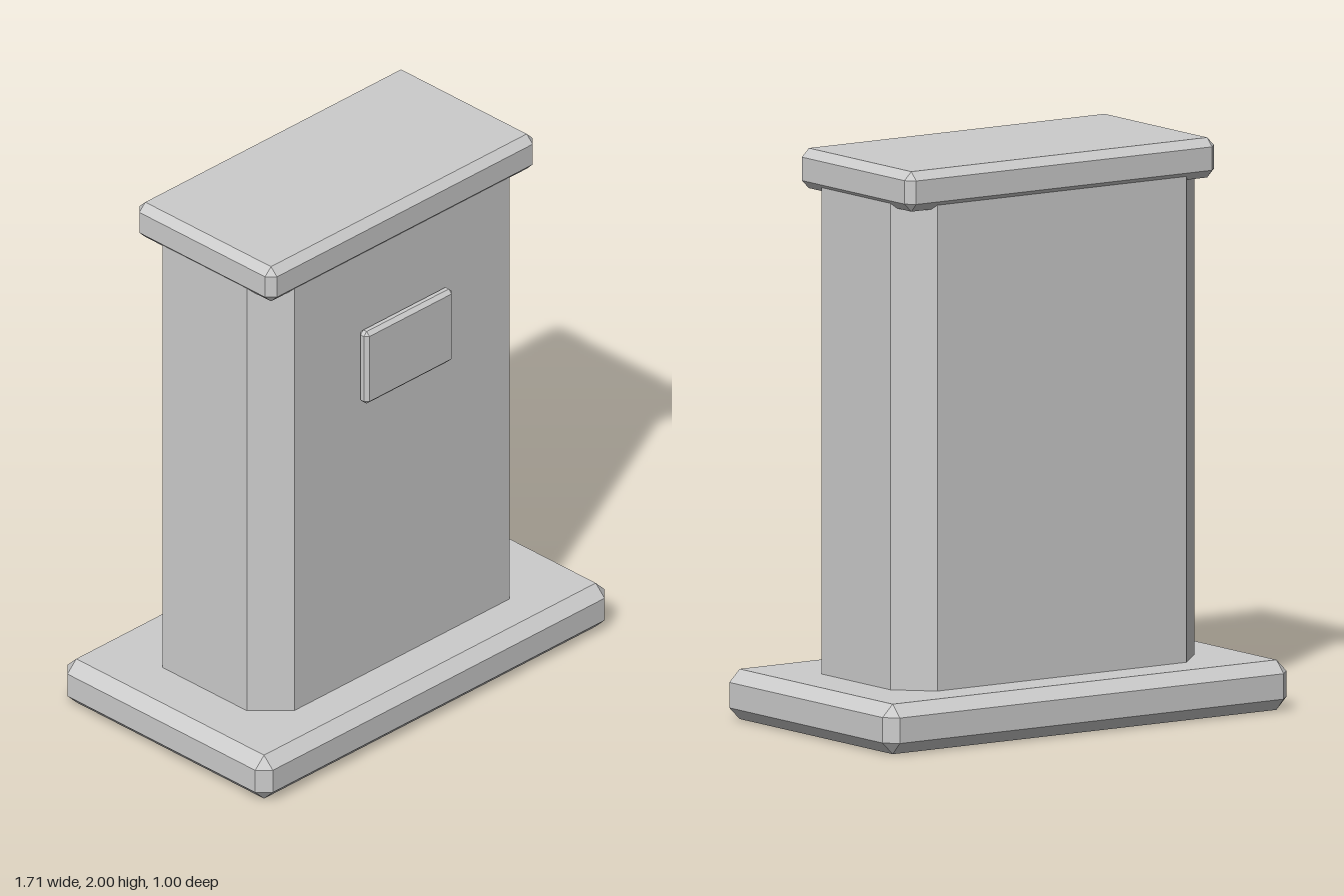
import * as THREE from 'three';
import { ConvexGeometry } from 'three/addons/geometries/ConvexGeometry.js';

const stone = new THREE.MeshStandardMaterial({ color: 0xcccccc });
stone.name = 'pale grey stone';

// Box with every edge and corner cut flat by the bevel b
function bevelledBox(w, h, d, b) {
  const points = [];
  for (const sx of [-1, 1]) for (const sy of [-1, 1]) for (const sz of [-1, 1]) {
    const x = w / 2, y = h / 2, z = d / 2;
    points.push(
      new THREE.Vector3(sx * x, sy * (y - b), sz * (z - b)),
      new THREE.Vector3(sx * (x - b), sy * y, sz * (z - b)),
      new THREE.Vector3(sx * (x - b), sy * (y - b), sz * z)
    );
  }
  return new ConvexGeometry(points);
}

// Upright prism with its four vertical edges cut at 45 degrees
function chamferedPillar(w, h, d, c) {
  const x = w / 2, z = d / 2;
  const outline = new THREE.Shape([
    [x - c, -z], [x, -z + c], [x, z - c], [x - c, z],
    [-x + c, z], [-x, z - c], [-x, -z + c], [-x + c, -z]
  ].map(([px, pz]) => new THREE.Vector2(px, pz)));
  return new THREE.ExtrudeGeometry(outline, { depth: h, bevelEnabled: false })
    .rotateX(-Math.PI / 2);
}

export function createModel() {
  const group = new THREE.Group();
  group.name = 'pedestal';

  function add(name, geometry, y, z = 0) {
    const mesh = new THREE.Mesh(geometry, stone);
    mesh.name = name;
    mesh.position.set(0, y, z);
    group.add(mesh);
  }

  // Wide foot slab
  add('base', bevelledBox(1.71, 0.175, 1.0, 0.043), 0.0875);
  // Main body, set slightly into the base and cap
  add('body', chamferedPillar(1.286, 1.74, 0.642, 0.116), 0.15);
  // Overhanging top slab
  add('cap', bevelledBox(1.31, 0.14, 0.67, 0.029), 1.93);
  // Raised plaque on the front
  add('plaque', bevelledBox(0.43, 0.29, 0.044, 0.014), 1.43, 0.341);

  return group;
}
